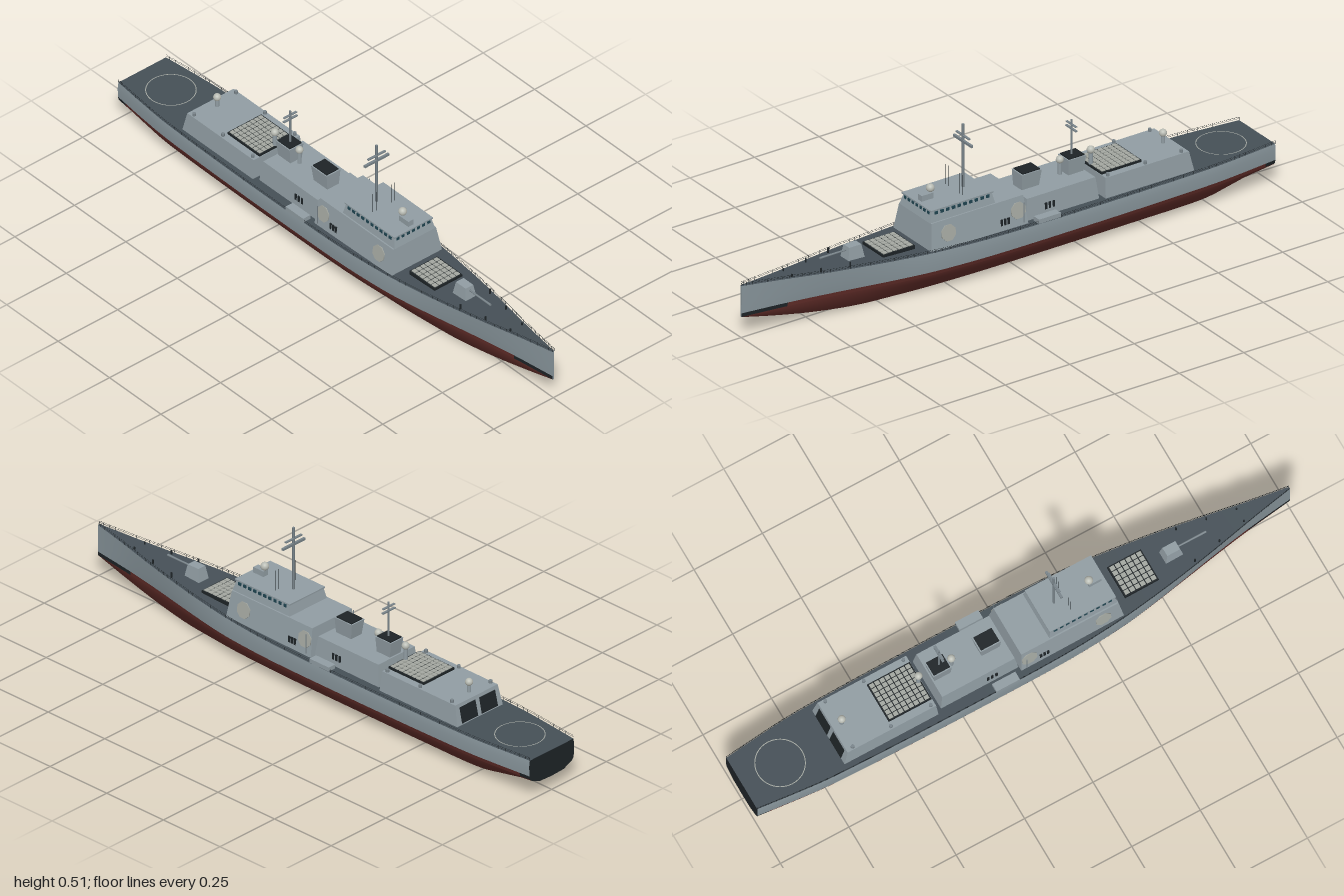
import * as THREE from 'three';

const COLORS = { side: 0x87949a, house: 0x909ca2, deck: 0x454f56, red: 0x5e2b27, dark: 0x1d2326, glass: 0x1f4450, dome: 0xb9bcb4, cell: 0xa3a7a0, mast: 0x79848a };
const mats = {};
const mat = (c) => (mats[c] ??= new THREE.MeshStandardMaterial({ color: COLORS[c], side: THREE.DoubleSide }));

export function createModel() {
  const ship = new THREE.Group();
  ship.name = 'warship';

  const add = (name, geometry, color, x = 0, y = 0, z = 0) => {
    const mesh = new THREE.Mesh(geometry, mat(color));
    mesh.name = name;
    mesh.position.set(x, y, z);
    ship.add(mesh);
    return mesh;
  };
  const box = (name, color, x, y, z, w, h, d) => add(name, new THREE.BoxGeometry(w, h, d), color, x, y, z);
  const rod = (name, color, x, y0, y1, z, r, n = 8) =>
    add(name, new THREE.CylinderGeometry(r, r, y1 - y0, n), color, x, (y0 + y1) / 2, z);
  const ball = (name, x, y, z, r) => add(name, new THREE.SphereGeometry(r, 20, 14), 'dome', x, y, z);

  // Box whose top is a different size from its base
  const block = (name, color, [x0, x1, hz], y0, [u0, u1, uz], y1) => {
    const g = new THREE.BoxGeometry(1, 1, 1).toNonIndexed();
    const p = g.attributes.position;
    for (let i = 0; i < p.count; i++) {
      const top = p.getY(i) > 0, fore = p.getX(i) > 0;
      p.setXYZ(i, top ? (fore ? u1 : u0) : (fore ? x1 : x0), top ? y1 : y0, Math.sign(p.getZ(i)) * (top ? uz : hz));
    }
    g.computeVertexNormals();
    return add(name, g, color);
  };

  // Hull stations: x, half beam, keel height, deck height
  const table = [
    [-1, 0.103, 0.052, 0.147], [-0.85, 0.119, 0.022, 0.147], [-0.73, 0.128, 0.004, 0.147], [-0.5, 0.133, 0.003, 0.147],
    [-0.2, 0.135, 0.003, 0.148], [0.1, 0.133, 0.003, 0.151], [0.3, 0.121, 0.003, 0.155], [0.45, 0.103, 0.003, 0.16],
    [0.58, 0.083, 0.004, 0.166], [0.72, 0.057, 0.018, 0.172], [0.86, 0.029, 0.043, 0.18], [1, 0.004, 0.076, 0.188]];
  const curves = [1, 2, 3].map((k) => new THREE.SplineCurve(table.map((r) => new THREE.Vector2(r[0], r[k]))));
  const N = 66;
  const stations = Array.from({ length: N + 1 }, (_, i) => {
    const [w, k, d] = curves.map((c) => c.getPoint(i / N));
    return { x: w.x, w: w.y, k: Math.max(0, k.y), d: d.y };
  });
  const rows = ({ x, w, k, d }) => {
    const fine = 1 - 0.25 * THREE.MathUtils.smoothstep(x, 0.3, 0.9);
    const low = (t) => k + (0.077 - k) * t;
    return [[d, 0.97 * w], [0.125, w * (fine + 1) / 2], [0.09, 0.985 * w * fine], [0.077, 0.955 * w * fine],
      [low(0.75), 0.89 * w * fine], [low(0.11), 0.54 * w * fine], [low(0), 0]];
  };

  // Strip of hull skin between section rows a and b, for one side
  const skin = (name, color, a, b, s, from = 0, to = N) => {
    const pos = [], idx = [], n = b - a + 1;
    for (let i = from; i <= to; i++) {
      const sec = rows(stations[i]);
      for (let r = a; r <= b; r++) pos.push(stations[i].x, sec[r][0], s * sec[r][1]);
    }
    for (let i = 0; i < to - from; i++) for (let r = 0; r < n - 1; r++) {
      const p = i * n + r, q = p + n;
      if (s > 0) idx.push(p, p + 1, q, q, p + 1, q + 1);
      else idx.push(p, q, p + 1, q, q + 1, p + 1);
    }
    const g = new THREE.BufferGeometry();
    g.setAttribute('position', new THREE.Float32BufferAttribute(pos, 3));
    g.setIndex(idx);
    g.computeVertexNormals();
    add(name, g, color);
  };
  const bowDark = stations.findIndex((st) => st.x > 0.83);
  for (const s of [1, -1]) {
    skin('hullSide', 'side', 0, 2, s);
    skin('bootStripeStern', 'dark', 2, 3, s, 0, 2);
    skin('hullWaterline', 'red', 2, 3, s, 2, bowDark);
    skin('bootStripeBow', 'dark', 2, 3, s, bowDark, N);
    skin('hullBottom', 'red', 3, 6, s);
  }

  // Deck, transom and stem close the hull
  const edge = (s) => stations.map((st) => new THREE.Vector3(st.x, st.d, s * 0.97 * st.w));
  const left = edge(1), right = edge(-1), deckPos = [], deckIdx = [];
  left.forEach((v, i) => {
    deckPos.push(...v.toArray(), ...right[i].toArray());
    if (i < N) deckIdx.push(2 * i, 2 * i + 2, 2 * i + 1, 2 * i + 2, 2 * i + 3, 2 * i + 1);
  });
  const deck = new THREE.BufferGeometry();
  deck.setAttribute('position', new THREE.Float32BufferAttribute(deckPos, 3));
  deck.setIndex(deckIdx);
  deck.computeVertexNormals();
  add('deck', deck, 'deck');
  for (const [name, color, i, turn] of [['transom', 'dark', 0, -1], ['stem', 'side', N, 1]]) {
    const sec = rows(stations[i]);
    const outline = [...sec.map(([y, z]) => [z, y]), ...sec.slice(0, -1).reverse().map(([y, z]) => [-z, y])];
    const g = new THREE.ShapeGeometry(new THREE.Shape(outline.map(([z, y]) => new THREE.Vector2(z, y))));
    add(name, g, color, stations[i].x).rotation.y = turn * Math.PI / 2;
  }

  // Railings along both deck edges
  for (const line of [left, right]) {
    for (const h of [0.006, 0.011]) {
      const path = new THREE.CatmullRomCurve3(line.map((v) => v.clone().setY(v.y + h)));
      add('deckRail', new THREE.TubeGeometry(path, 80, 0.0005, 4), 'dark');
    }
    line.forEach((v) => rod('railPost', 'dark', v.x, v.y, v.y + 0.011, v.z, 0.0006, 4));
  }

  // Superstructure
  block('hangar', 'house', [-0.685, -0.34, 0.105], 0.14, [-0.668, -0.345, 0.097], 0.217);
  block('midHouse', 'house', [-0.325, -0.04, 0.092], 0.14, [-0.315, -0.05, 0.083], 0.223);
  block('forwardHouse', 'house', [-0.04, 0.338, 0.108], 0.14, [-0.03, 0.325, 0.09], 0.247);
  block('bridge', 'house', [0.075, 0.327, 0.085], 0.247, [0.083, 0.316, 0.078], 0.283);
  block('bridgeRoof', 'house', [0.079, 0.321, 0.081], 0.283, [0.079, 0.321, 0.081], 0.288);
  for (const z of [-0.045, 0.045]) {
    const door = block('hangarDoor', 'dark', [-0.685, -0.67, 0.036], 0.152, [-0.672, -0.66, 0.036], 0.205);
    door.position.z = z;
  }

  // Bridge windows
  for (let i = -3; i <= 3; i++) box('bridgeWindow', 'glass', 0.318, 0.276, i * 0.0215, 0.005, 0.01, 0.011);
  for (const s of [1, -1]) {
    for (let i = 0; i < 10; i++) box('bridgeSideWindow', 'glass', 0.1 + i * 0.0222, 0.276, s * 0.0795, 0.012, 0.01, 0.005);
  }

  // Side fittings: radar panels, vents, boat platforms
  for (const s of [1, -1]) {
    for (const x of [-0.005, 0.265]) {
      const panel = add('radarPanel', new THREE.CylinderGeometry(0.029, 0.029, 0.005, 8).rotateY(Math.PI / 8), 'cell', x, 0.202, s * 0.0985);
      panel.rotation.x = s * (Math.PI / 2 - 0.167);
    }
    for (const x of [0.035, 0.048, 0.061]) box('sideVent', 'dark', x, 0.178, s * 0.102, 0.008, 0.022, 0.004);
    for (const x of [-0.15, -0.135, -0.12]) box('sideVent', 'dark', x, 0.18, s * 0.088, 0.008, 0.022, 0.004);
    box('boatPlatform', 'house', -0.103, 0.16, s * 0.12, 0.085, 0.015, 0.03);
    for (const x of [-0.645, -0.505, -0.36]) rod('roofVent', 'mast', x, 0.217, 0.227, s * 0.088, 0.006, 10);
    for (const x of [0.62, 0.72, 0.82]) rod('bollard', 'dark', x, 0.16, 0.186, s * (0.075 - (x - 0.55) * 0.19), 0.003);
  }

  // Funnels with dark tops
  for (const [x, half] of [[-0.283, 0.034], [-0.107, 0.038]]) {
    block('funnel', 'house', [x - half + 0.008, x + half - 0.002, 0.024], 0.22, [x - half, x + half, 0.029], 0.278);
    box('funnelCap', 'dark', x, 0.279, 0, half * 1.75, 0.006, 0.05);
  }

  // Masts with cross yards
  const mast = (x, y0, y1, r, yards) => {
    rod('mast', 'mast', x, y0, y1, 0, r);
    for (const [y, half, t] of yards) box('yard', 'mast', x, y, 0, 0.008, t, half * 2);
  };
  mast(0.14, 0.287, 0.513, 0.0042, [[0.472, 0.037, 0.004], [0.452, 0.051, 0.008]]);
  mast(-0.28, 0.28, 0.405, 0.0035, [[0.388, 0.027, 0.003], [0.373, 0.029, 0.004]]);
  for (const z of [-0.047, -0.031, 0.031, 0.047]) rod('whipAntenna', 'dark', 0.175, 0.287, 0.36, z, 0.0009, 5);
  for (const s of [1, -1]) rod('sideAntenna', 'mast', -0.02, 0.16, 0.23, s * 0.109, 0.0015, 6);

  // Radomes on pedestals
  box('directorBase', 'house', 0.285, 0.297, 0, 0.045, 0.022, 0.022);
  ball('directorDome', 0.267, 0.322, 0, 0.014);
  for (const [x, y, base] of [[-0.635, 0.252, 0.217], [-0.355, 0.275, 0.217], [-0.235, 0.275, 0.223]]) {
    rod('domePedestal', 'house', x, base, y, 0, 0.007, 12);
    ball('radome', x, y, 0, 0.013);
  }

  // Missile cell grids
  const cells = (x0, x1, hz, base, y, nx, nz) => {
    const w = (x1 - x0) / nx, d = 2 * hz / nz;
    box('cellDeck', 'dark', (x0 + x1) / 2, (base + y) / 2, 0, x1 - x0 + 0.006, y - base, hz * 2 + 0.006);
    for (let i = 0; i < nx; i++) for (let j = 0; j < nz; j++) {
      box('cellHatch', 'cell', x0 + (i + 0.5) * w, y + 0.001, -hz + (j + 0.5) * d, w * 0.82, 0.003, d * 0.82);
    }
  };
  cells(-0.5, -0.35, 0.068, 0.21, 0.224, 8, 8);
  cells(0.37, 0.487, 0.055, 0.15, 0.17, 6, 6);

  // Deck gun
  block('gunHouse', 'house', [0.535, 0.602, 0.024], 0.155, [0.545, 0.592, 0.016], 0.209);
  add('gunBarrel', new THREE.CylinderGeometry(0.003, 0.004, 0.11, 10).rotateZ(Math.PI / 2), 'mast', 0.64, 0.196);

  // Landing circle on the aft deck
  add('landingCircle', new THREE.RingGeometry(0.079, 0.082, 48).rotateX(-Math.PI / 2), 'cell', -0.86, 0.149);

  return ship;
}
